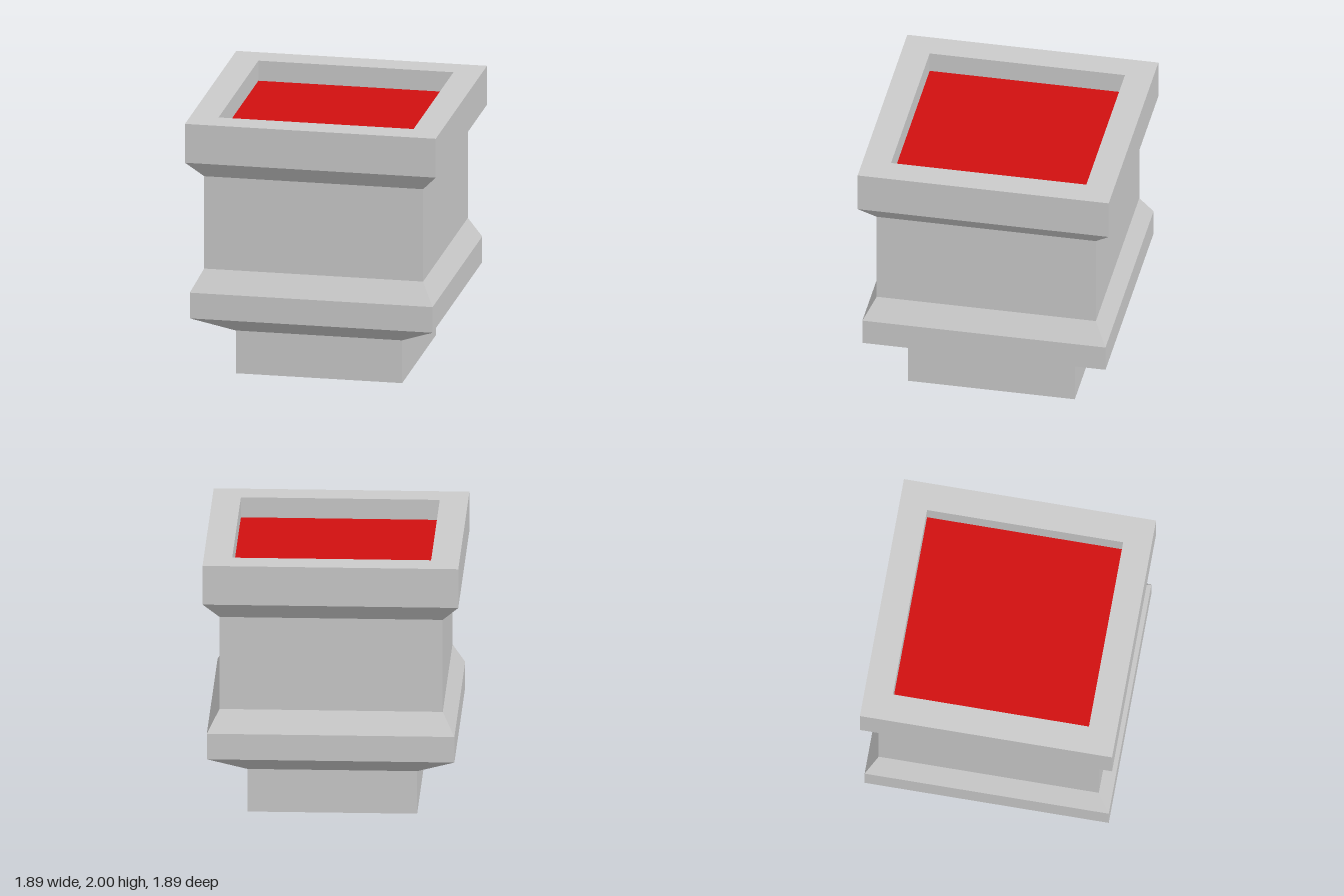
import * as THREE from 'three';

// Square "lathe": each profile point is [half width, height], bottom to top
function squareLathe(name, profile, color) {
  const points = profile.map(([w, y]) => new THREE.Vector2(w * Math.SQRT2, y));
  const geometry = new THREE.LatheGeometry(points, 4, Math.PI / 4);
  const mesh = new THREE.Mesh(geometry, new THREE.MeshStandardMaterial({ color, flatShading: true }));
  mesh.name = name;
  return mesh;
}

export function createModel() {
  const model = new THREE.Group();
  model.name = 'squarePedestal';
  const grey = 0xcccccc;
  const floorY = 1.845, inner = 0.735;

  // Narrow foot with its closed underside
  model.add(squareLathe('foot', [[0, 0], [0.627, 0], [0.627, 0.33]], grey));

  // Flared band above the foot, sloping in to the shaft
  model.add(squareLathe('lowerBand', [[0.627, 0.33], [0.915, 0.492], [0.915, 0.69], [0.825, 0.855]], grey));

  // Straight shaft
  model.add(squareLathe('shaft', [[0.825, 0.855], [0.825, 1.568]], grey));

  // Overhanging rim with recessed inner walls
  model.add(squareLathe('rim', [[0.825, 1.568], [0.945, 1.7], [0.945, 2], [inner, 2], [inner, floorY]], grey));

  // Red panel at the bottom of the recess
  const panel = new THREE.Mesh(
    new THREE.PlaneGeometry(inner * 2, inner * 2).rotateX(-Math.PI / 2),
    new THREE.MeshStandardMaterial({ color: 0xd01010 })
  );
  panel.name = 'recessPanel';
  panel.position.y = floorY;
  model.add(panel);

  return model;
}
